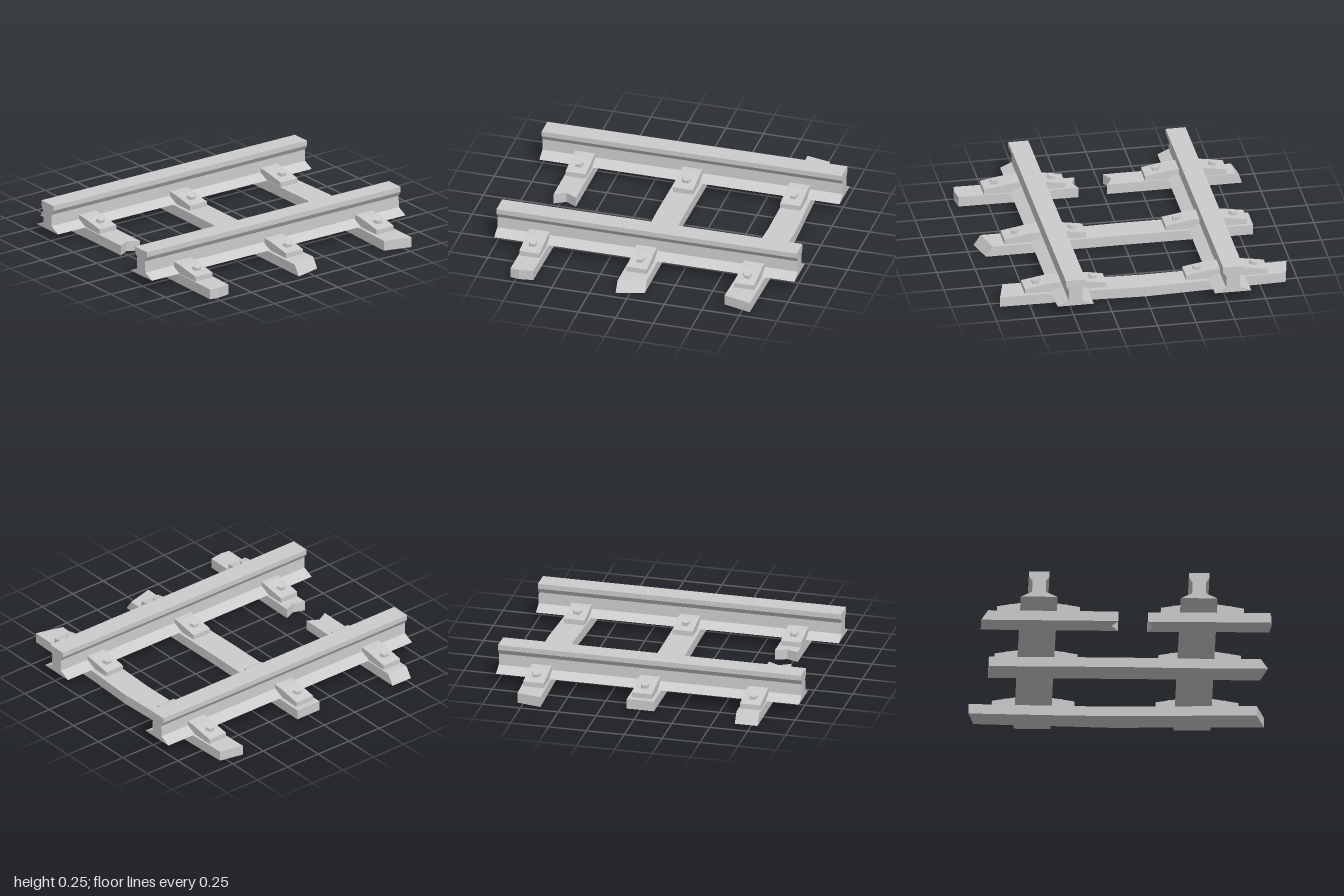
import * as THREE from 'three';

const material = new THREE.MeshStandardMaterial({ color: 0xcccccc, flatShading: true });
const SLEEPER_H = 0.067;

function add(parent, name, geometry) {
  const mesh = new THREE.Mesh(geometry, material);
  mesh.name = name;
  parent.add(mesh);
  return mesh;
}

const toShape = (points) => new THREE.Shape(points.map(([x, y]) => new THREE.Vector2(x, y)));

// Cross-section in (-z, y), run along x and centred
function alongX(points, length) {
  const geometry = new THREE.ExtrudeGeometry(toShape(points), { depth: length, bevelEnabled: false });
  return geometry.translate(0, 0, -length / 2).rotateY(Math.PI / 2);
}

// Plank from a plan outline in (x, z); slant pulls the top edge of one end inwards
function plank(outline, slant) {
  const shape = toShape(outline.map(([x, z]) => [x, -z]));
  const geometry = new THREE.ExtrudeGeometry(shape, { depth: SLEEPER_H, bevelEnabled: false });
  geometry.rotateX(-Math.PI / 2);
  if (slant) {
    const p = geometry.attributes.position;
    for (let i = 0; i < p.count; i++) {
      const z = p.getZ(i);
      if (p.getY(i) > SLEEPER_H / 2 && z * slant < 0 && Math.abs(z) > 0.8) p.setZ(i, z + slant);
    }
    geometry.computeVertexNormals();
  }
  return geometry;
}

export function createModel() {
  const model = new THREE.Group();
  model.name = 'railTrack';

  // Worn and broken wooden sleepers
  add(model, 'brokenSleeperBack', plank([
    [-0.79, -0.903], [-0.64, -0.903], [-0.64, -0.025], [-0.715, -0.067], [-0.79, -0.025],
  ], 0.045));
  add(model, 'brokenSleeperFront', plank([
    [-0.78, 0.162], [-0.705, 0.192], [-0.63, 0.162], [-0.64, 0.942], [-0.73, 0.955], [-0.79, 0.945],
  ], 0));
  add(model, 'middleSleeper', plank([
    [-0.09, -0.838], [0.09, -0.838], [0.088, -0.4], [0.085, 0], [0.088, 0.4],
    [0.09, 0.9], [-0.09, 0.947], [-0.087, 0.4], [-0.095, 0], [-0.092, -0.4],
  ], -0.045));
  add(model, 'bentSleeper', plank([
    [0.63, -0.952], [0.79, -0.918], [0.81, -0.4], [0.828, 0], [0.81, 0.36],
    [0.802, 0.942], [0.62, 0.892], [0.635, 0.36], [0.65, 0], [0.645, -0.4],
  ], 0));

  // Steel rail profile, half of it mirrored
  const half = [[0.118, 0.068], [0.045, 0.102], [0.043, 0.178], [0.065, 0.212], [0.065, 0.246]];
  const railProfile = [...half, ...half.map(([z, y]) => [-z, y]).reverse()];
  const railGeometry = alongX(railProfile, 2);

  // Clamp plate and its tilted five-sided bolt
  const clampGeometry = alongX([
    [0.03, 0.066], [0.265, 0.066], [0.265, 0.1], [0.1, 0.127], [0.03, 0.132],
  ], 0.134);
  const boltGeometry = new THREE.CylinderGeometry(0.028, 0.031, 0.024, 5);

  for (const [side, railZ, clampZ] of [['front', 0.486, 0.511], ['back', -0.537, -0.537]]) {
    add(model, side + 'Rail', railGeometry).position.z = railZ;
    for (const x of [-0.715, 0, 0.715]) {
      for (const turn of [0, Math.PI]) {
        const clamp = new THREE.Group();
        clamp.name = side + 'Clamp';
        clamp.position.set(x, 0, clampZ);
        clamp.rotation.y = turn;
        add(clamp, 'clampPlate', clampGeometry);
        const bolt = add(clamp, 'bolt', boltGeometry);
        bolt.position.set(0, 0.123, -0.184);
        bolt.rotation.x = -0.18;
        model.add(clamp);
      }
    }
  }
  return model;
}
